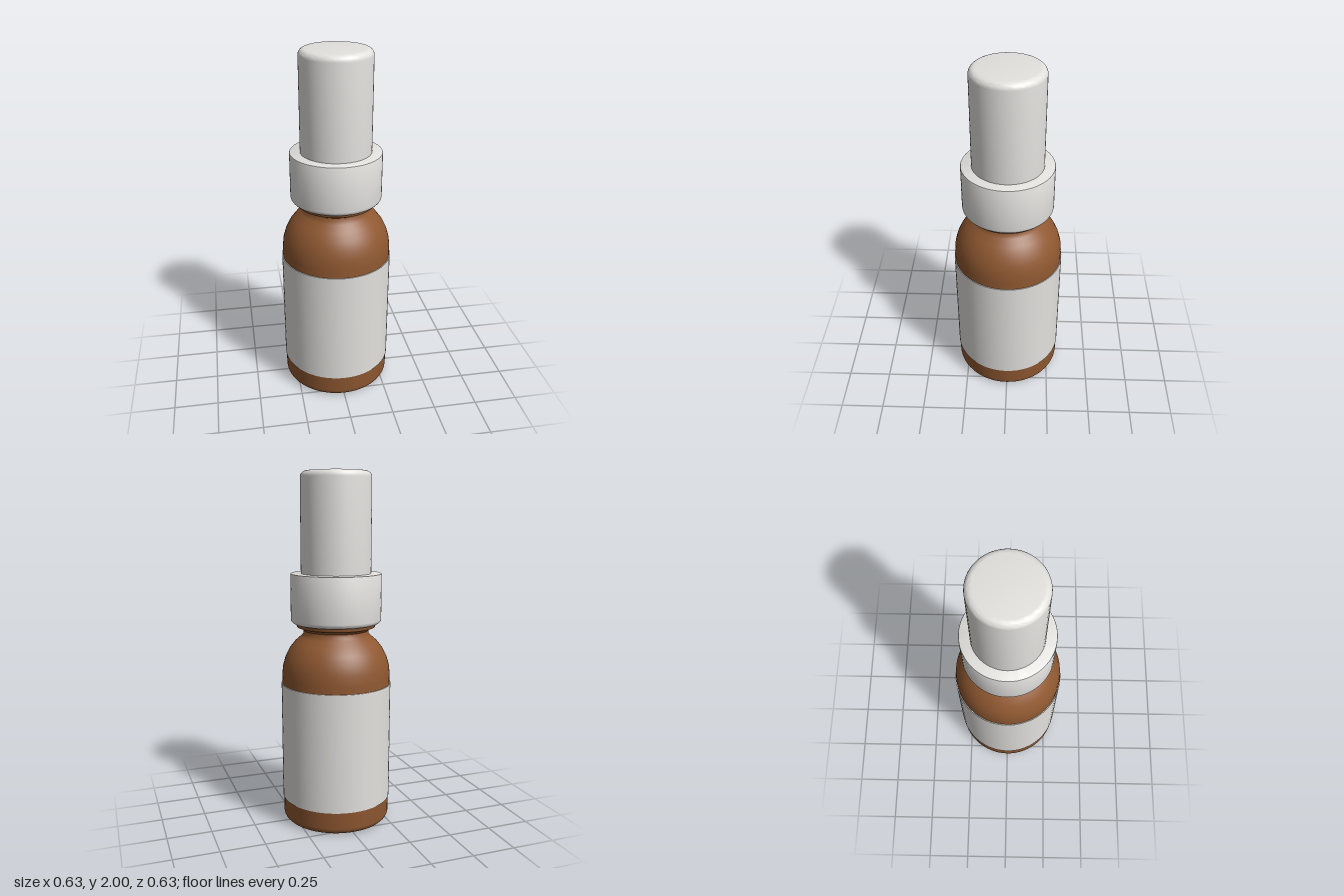
import * as THREE from 'three';
import { toCreasedNormals } from 'three/addons/utils/BufferGeometryUtils.js';

const SEGMENTS = 64;

const amber = new THREE.MeshStandardMaterial({ name: 'amberGlass', color: 0x8f5831 });
const white = new THREE.MeshStandardMaterial({ name: 'whitePlastic', color: 0xe2e1de });

// Points of a rounded corner, from angle a to b (degrees) around (cx, cy)
function corner(cx, cy, r, a, b, steps = 5) {
  return Array.from({ length: steps + 1 }, (_, i) => {
    const t = THREE.MathUtils.degToRad(a + ((b - a) * i) / steps);
    return [cx + r * Math.cos(t), cy + r * Math.sin(t)];
  });
}

// Turns a profile of [radius, height] points, listed from bottom to top
function turned(name, profile, material) {
  const points = profile.map(([r, y]) => new THREE.Vector2(r, y));
  const geometry = toCreasedNormals(new THREE.LatheGeometry(points, SEGMENTS), 0.6);
  const mesh = new THREE.Mesh(geometry, material);
  mesh.name = name;
  return mesh;
}

export function createModel() {
  const model = new THREE.Group();
  model.name = 'sprayBottle';

  // Bottle: rounded foot, straight wall, domed shoulder, neck and flange
  model.add(turned('bottle', [
    [0, 0],
    ...corner(0.27, 0.04, 0.04, -90, 0),
    [0.31, 0.86],
    [0.305, 0.915],
    [0.291, 0.965],
    [0.268, 1.012],
    [0.236, 1.054],
    [0.2, 1.085],
    [0.187, 1.1],
    [0.184, 1.12],
    [0.195, 1.13],
    [0.222, 1.14],
    [0.226, 1.15],
    [0.226, 1.17],
    [0, 1.17],
  ], amber));

  // Label: thin sleeve around the wall
  model.add(turned('label', [
    [0.309, 0.135],
    [0.315, 0.135],
    [0.315, 0.815],
    [0.309, 0.815],
  ], white));

  // Collar: screw ring with a rounded lower edge
  model.add(turned('collar', [
    [0, 1.16],
    ...corner(0.232, 1.185, 0.025, -90, 0),
    ...corner(0.252, 1.437, 0.005, 0, 90, 2),
    [0, 1.442],
  ], white));

  // Cap: tall cover with a rounded top edge
  model.add(turned('cap', [
    [0.198, 1.43],
    ...corner(0.163, 1.965, 0.035, 0, 90, 6),
    [0, 2],
  ], white));

  return model;
}
